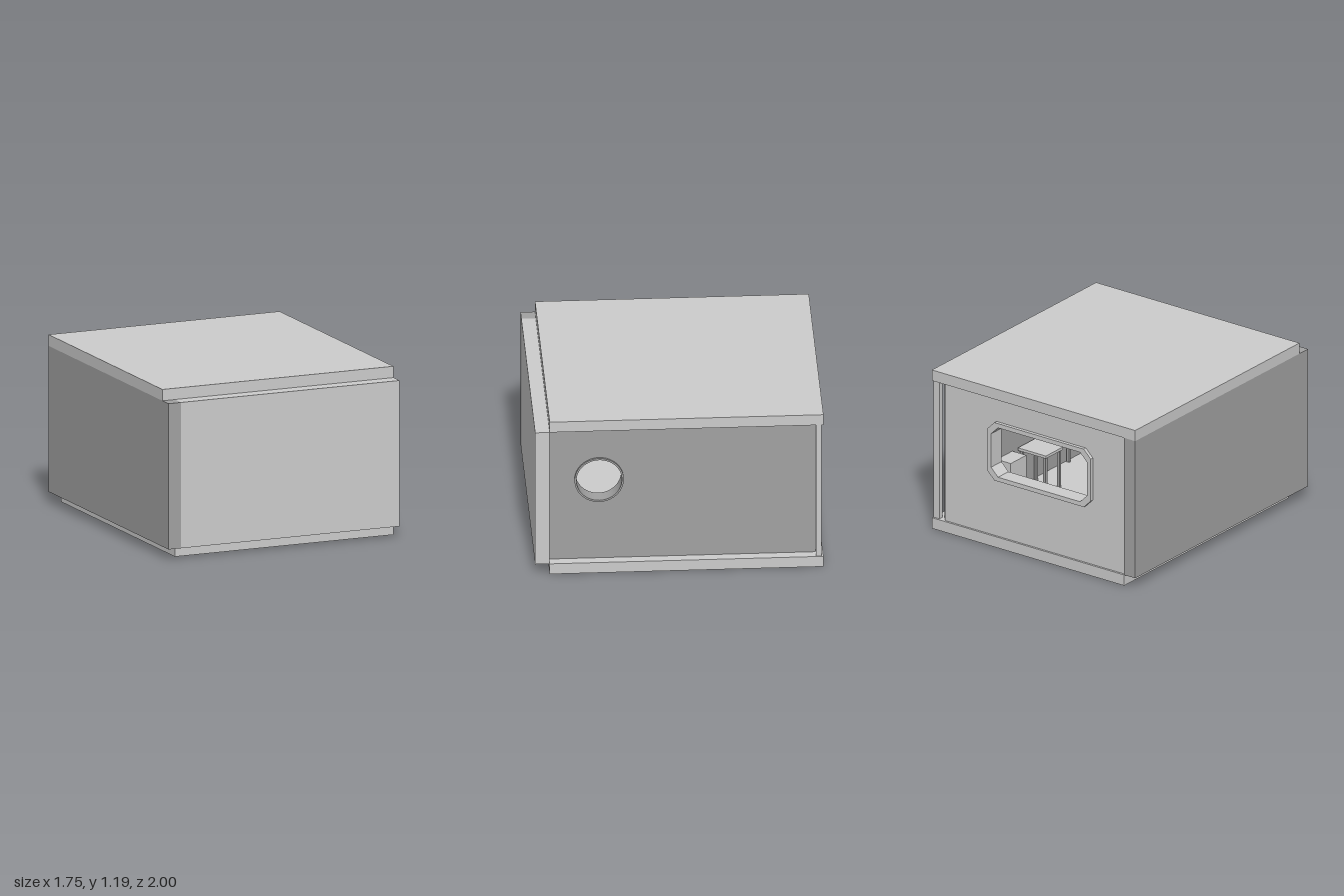
import * as THREE from 'three';

const light = new THREE.MeshStandardMaterial({ color: 0xcccccc, flatShading: true });
const dark = new THREE.MeshStandardMaterial({ color: 0xa1a1a1, flatShading: true });

export function createModel() {
  const model = new THREE.Group();

  const add = (name, geometry, material = light, parent = model) => {
    const mesh = new THREE.Mesh(geometry, material);
    mesh.name = name;
    parent.add(mesh);
    return mesh;
  };
  // Box given by its limits on each axis
  const slab = (name, [x0, x1], [y0, y1], [z0, z1], material, parent) => {
    const mesh = add(name, new THREE.BoxGeometry(x1 - x0, y1 - y0, z1 - z0), material, parent);
    mesh.position.set((x0 + x1) / 2, (y0 + y1) / 2, (z0 + z1) / 2);
    return mesh;
  };
  // Rectangle with cut corners
  const cutRect = (x0, x1, y0, y1, c) => [
    [x0 + c, y0], [x1 - c, y0], [x1, y0 + c], [x1, y1 - c],
    [x1 - c, y1], [x0 + c, y1], [x0, y1 - c], [x0, y0 + c],
  ].map(([x, y]) => new THREE.Vector2(x, y));
  const circle = (x, y, r) => new THREE.Path().absarc(x, y, r, 0, Math.PI * 2);
  const extrude = (points, hole, depth) => {
    const shape = new THREE.Shape(points);
    shape.holes.push(hole);
    return new THREE.ExtrudeGeometry(shape, { depth, bevelEnabled: false, curveSegments: 32 });
  };

  const wallY = [0.08, 1.11];

  // Floor, roof and the closed walls
  slab('floor', [-0.78, 0.875], [0, 0.08], [-0.99, 0.9]);
  slab('roof', [-0.875, 0.875], [1.11, 1.19], [-0.99, 0.9]);
  slab('frontWall', [-0.78, 0.875], wallY, [0.9, 1]);
  slab('rightWall', [-0.875, -0.78], wallY, [-0.99, 1], dark);
  slab('cornerPost', [0.82, 0.87], wallY, [-0.975, -0.94]);

  // Left wall with a round porthole, drawn in (-z, y) and turned to face +x
  const pz = 0.555, py = 0.695;
  const leftWall = add('leftWall', extrude(cutRect(-0.9, 0.94, ...wallY, 0), circle(-pz, py, 0.16), 0.085), dark);
  leftWall.rotation.y = Math.PI / 2;
  leftWall.position.x = 0.72;
  const ring = new THREE.Shape().absarc(-pz, py, 0.17, 0, Math.PI * 2);
  ring.holes.push(circle(-pz, py, 0.157));
  const porthole = add('portholeRing',
    new THREE.ExtrudeGeometry(ring, { depth: 0.11, bevelEnabled: false, curveSegments: 32 }), dark);
  porthole.rotation.y = Math.PI / 2;
  porthole.position.x = 0.71;

  // Back wall with a wide window and its frame
  const opening = (m) => cutRect(-0.5 + m, 0.39 - m, 0.505 + m, 0.94 - m, 0.06);
  const backWall = add('backWall',
    extrude(cutRect(-0.78, 0.775, ...wallY, 0), new THREE.Path(opening(0.02)), 0.085));
  backWall.position.z = -0.975;
  const frame = add('windowFrame', extrude(opening(0), new THREE.Path(opening(0.032)), 0.12));
  frame.position.z = -1;

  // Furniture inside
  const table = (name, x, z, w, d, top) => {
    const group = new THREE.Group();
    group.name = name;
    model.add(group);
    slab('tableTop', [x - w / 2, x + w / 2], [top - 0.02, top], [z - d / 2, z + d / 2], light, group);
    for (const sx of [-1, 1]) for (const sz of [-1, 1]) {
      const lx = x + sx * (w / 2 - 0.02), lz = z + sz * (d / 2 - 0.02);
      slab('tableLeg', [lx - 0.01, lx + 0.01], [0.08, top - 0.02], [lz - 0.01, lz + 0.01], dark, group);
    }
  };
  table('smallTable', 0.59, -0.12, 0.24, 0.2, 0.38);
  table('sideTable', 0.61, 0.46, 0.22, 0.26, 0.42);
  slab('cabinet', [0.6, 0.72], [0.08, 0.37], [-0.45, -0.27]);

  return model;
}
